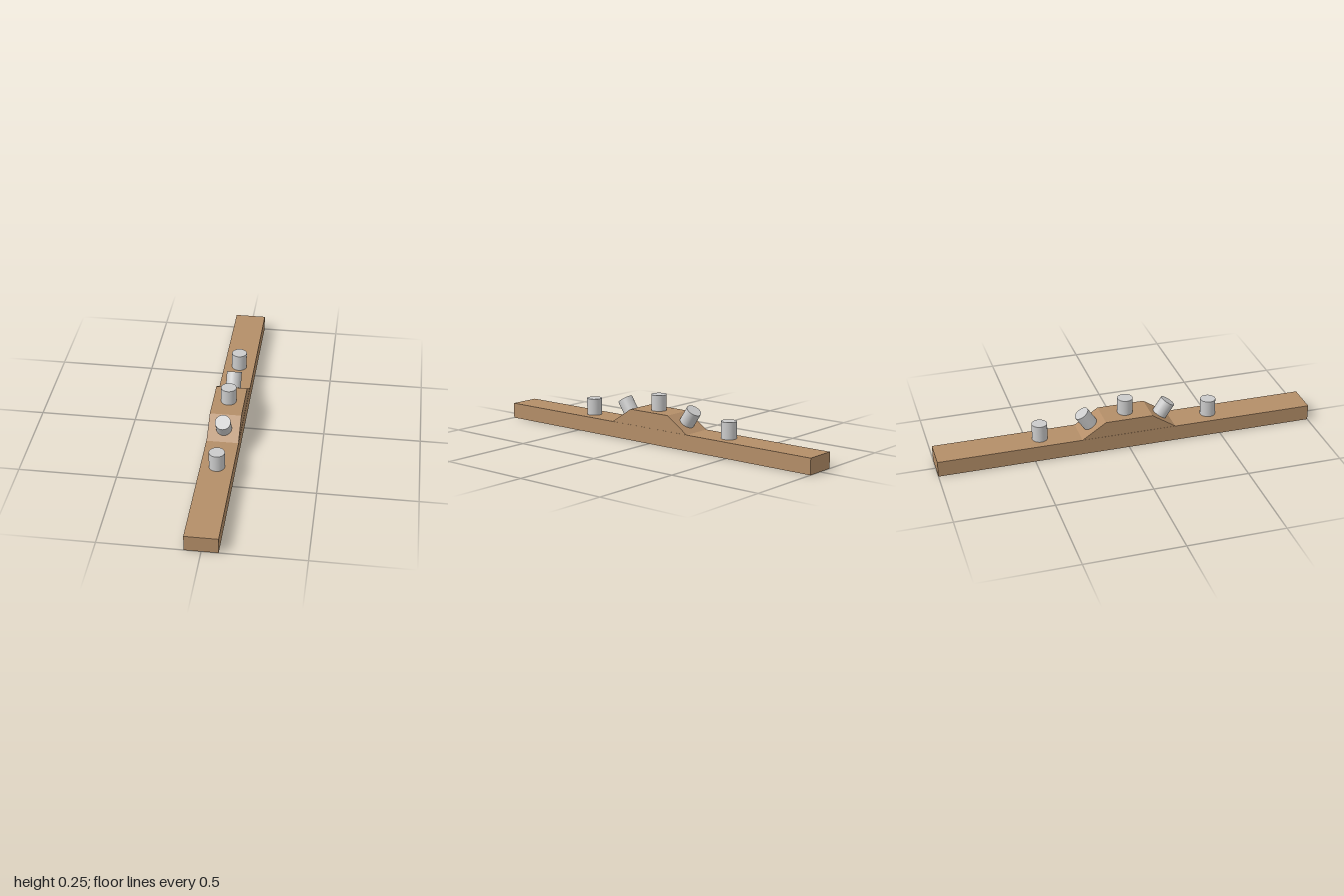
import * as THREE from 'three';

const PLANK_H = 0.083, PLANK_W = 0.165, HUMP_H = 0.083;
const HUMP_BASE = 0.25, HUMP_TOP = 0.125; // half lengths
const PEG_R = 0.04, EMBED = 0.01;

export function createModel() {
  const model = new THREE.Group();
  const wood = new THREE.MeshStandardMaterial({ color: 0xb48e68 });
  const grey = new THREE.MeshStandardMaterial({ color: 0xcccccc });

  const add = (name, geometry, material) => {
    const mesh = new THREE.Mesh(geometry, material);
    mesh.name = name;
    model.add(mesh);
    return mesh;
  };

  // Long flat plank
  add('plank', new THREE.BoxGeometry(PLANK_W, PLANK_H, 2), wood).position.y = PLANK_H / 2;

  // Raised trapezoid block, extruded across the plank
  const profile = new THREE.Shape([
    new THREE.Vector2(-HUMP_BASE, 0),
    new THREE.Vector2(HUMP_BASE, 0),
    new THREE.Vector2(HUMP_TOP, HUMP_H),
    new THREE.Vector2(-HUMP_TOP, HUMP_H),
  ]);
  const width = PLANK_W - 0.002;
  const humpGeometry = new THREE.ExtrudeGeometry(profile, { depth: width, bevelEnabled: false });
  humpGeometry.translate(0, 0, -width / 2).rotateY(-Math.PI / 2);
  add('raisedBlock', humpGeometry, wood).position.y = PLANK_H;

  // Peg standing on the surface at (y, z), tilted about x
  const peg = (name, y, z, height, tilt = 0) => {
    const geometry = new THREE.CylinderGeometry(PEG_R, PEG_R, height + EMBED, 32);
    geometry.translate(0, (height - EMBED) / 2, 0);
    const mesh = add(name, geometry, grey);
    mesh.position.set(0, y, z);
    mesh.rotation.x = tilt;
  };

  const slope = Math.atan2(HUMP_H, HUMP_BASE - HUMP_TOP);
  peg('centrePeg', PLANK_H + HUMP_H, 0, 0.083);
  for (const [side, s] of [['front', 1], ['back', -1]]) {
    peg(side + 'SlopePeg', PLANK_H + HUMP_H / 2, s * (HUMP_BASE + HUMP_TOP) / 2, 0.083, s * slope);
    peg(side + 'PlankPeg', PLANK_H, s * 0.456, 0.088);
  }
  return model;
}
